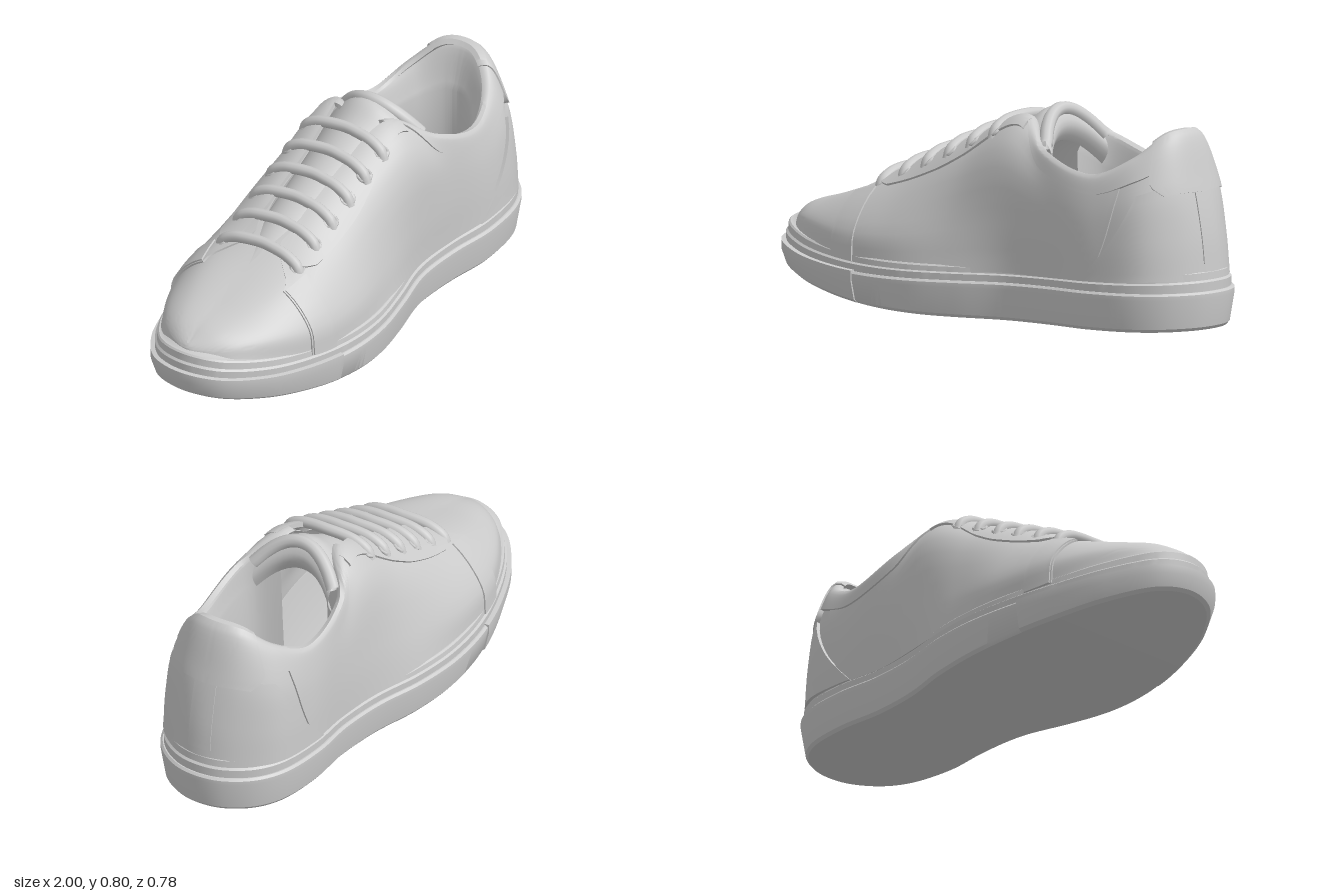
import * as THREE from 'three';
import { mergeVertices, toCreasedNormals } from 'three/addons/utils/BufferGeometryUtils.js';

const V = (x, y, z) => new THREE.Vector3(x, y, z);
const { lerp: mix, smoothstep: smooth, clamp } = THREE.MathUtils;
const material = new THREE.MeshStandardMaterial({ color: 0xcccccc, side: THREE.DoubleSide });

// Gentle sideways curve of the shoe: toe swings to +z, waist to -z, fading out higher up
function bend(x, y) {
  const waist = Math.exp(-(((x - 0.12) / 0.3) ** 2)) * clamp(1 - (y - 0.2) / 0.35, 0, 1);
  return 0.022 * Math.max(0, -x) ** 2 - 0.02 * waist;
}

// Closed curve from points on the +z half (first and last lie on z = 0)
function mirroredLoop(points) {
  const half = points.map((p) => V(...p));
  const back = half.slice(1, -1).reverse().map((p) => V(p.x, p.y, -p.z));
  return new THREE.CatmullRomCurve3([...half, ...back], true);
}

// Rails of the upper: 12 stations from toe (0) to heel (11), mirrored round to 22
const STATIONS = 22;
const rails = [
  // along the sole
  [[-.95, .26, 0], [-.89, .25, .145], [-.75, .22, .252], [-.55, .18, .328], [-.3, .17, .352], [-.05, .17, .33],
    [.2, .18, .275], [.4, .18, .26], [.62, .19, .272], [.82, .2, .238], [.93, .2, .125], [.965, .2, 0]],
  // lower side
  [[-.953, .272, 0], [-.888, .29, .125], [-.75, .295, .23], [-.55, .285, .314], [-.3, .29, .335], [-.05, .33, .3],
    [.18, .37, .27], [.4, .35, .262], [.62, .33, .268], [.81, .35, .234], [.912, .36, .125], [.946, .37, 0]],
  // shoulder
  [[-.948, .286, 0], [-.88, .323, .08], [-.735, .36, .14], [-.545, .408, .195], [-.3, .475, .215], [-.05, .575, .212],
    [.18, .65, .228], [.37, .53, .25], [.6, .47, .255], [.785, .52, .218], [.875, .56, .12], [.902, .56, 0]],
  // crest and collar edge
  [[-.935, .298, 0], [-.865, .336, 0], [-.72, .377, 0], [-.54, .44, 0], [-.3, .55, .07], [-.05, .655, .08],
    [.18, .745, .115], [.34, .645, .222], [.58, .572, .23], [.74, .642, .172], [.818, .725, .08], [.835, .737, 0]],
].map(mirroredLoop);

// Point on the upper: station k, height v (0 sole, 1 collar edge, 4/3 inside the lining)
function upperPoint(k, v) {
  const p = rails.map((r) => r.getPoint(k / STATIONS));
  const side = k <= 11 ? 1 : -1;
  p[3].z = side * Math.max(0, side * p[3].z);
  p.push(V(2 * p[3].x - p[2].x, p[2].y, 2 * p[3].z - p[2].z));
  return new THREE.CatmullRomCurve3(p).getPoint(clamp(v * 0.75, 0, 1));
}

// Same point lifted off the surface by h
function raisedPoint(k, v, h) {
  const e = 0.02;
  const du = upperPoint(k + e, v).sub(upperPoint(k - e, v));
  const dv = upperPoint(k, v + e).sub(upperPoint(k, v - e));
  return upperPoint(k, v).addScaledVector(du.cross(dv).normalize(), h);
}

// Surface from a grid of points f(i, j)
function grid(nu, nv, f) {
  const pos = [], index = [];
  for (let j = 0; j <= nv; j++) for (let i = 0; i <= nu; i++) pos.push(...f(i, j).toArray());
  for (let j = 0; j < nv; j++) for (let i = 0; i < nu; i++) {
    const a = j * (nu + 1) + i, b = a + 1, c = a + nu + 1, d = c + 1;
    index.push(a, b, d, a, d, c);
  }
  const g = new THREE.BufferGeometry();
  g.setAttribute('position', new THREE.Float32BufferAttribute(pos, 3));
  g.setIndex(index);
  return g;
}

export function createModel() {
  const shoe = new THREE.Group();
  shoe.name = 'shoe';

  function add(name, geometry, crease) {
    geometry.deleteAttribute('uv');
    geometry.deleteAttribute('normal');
    const p = geometry.attributes.position;
    for (let i = 0; i < p.count; i++) p.setZ(i, p.getZ(i) + bend(p.getX(i), p.getY(i)));
    const mesh = new THREE.Mesh(toCreasedNormals(mergeVertices(geometry, 1e-4), crease), material);
    mesh.name = name;
    shoe.add(mesh);
  }

  // Raised panel on the upper; place(a, b) gives [station, height] for a, b in 0..1
  function panel(name, nu, nv, height, place, mirror = false) {
    const inner = (i, n) => clamp(i - 1, 0, n) / n;
    for (const flip of mirror ? [false, true] : [false]) {
      add(name, grid(nu + 2, nv + 2, (i, j) => {
        const border = i === 0 || j === 0 || i === nu + 2 || j === nv + 2;
        const [k, v] = place(inner(flip ? nu + 2 - i : i, nu), inner(j, nv));
        return raisedPoint(flip ? STATIONS - k : k, v, border ? -0.004 : height);
      }), 0.6);
    }
  }

  // Sole: outline rings from the tread up to the foot bed
  const outline = mirroredLoop([[-1, 0, 0], [-.955, 0, .14], [-.8, 0, .262], [-.6, 0, .34], [-.4, 0, .382],
    [-.2, 0, .386], [0, 0, .352], [.2, 0, .3], [.4, 0, .287], [.6, 0, .299], [.8, 0, .27], [.91, 0, .205],
    [.982, 0, .1], [1, 0, 0]]);
  const treadY = (x) => (x < 0 ? 0.11 * Math.pow(-x, 2.2) : 0.014 * x * x);
  const bandY = (x) => 0.14 + 0.02 * x + 0.08 * Math.pow(Math.max(0, -x), 3);
  const weltY = (x) => bandY(x) + 0.055 + 0.02 * x * x;
  function ringPoint(t, inset, y, width = 1) {
    const u = (t + 1) % 1;
    const p = outline.getPoint(u), d = outline.getTangent(u);
    return V(p.x + d.z * inset, y(p.x), (p.z - d.x * inset) * width);
  }
  function soleLoft(name, rings) {
    add(name, grid(200, rings.length - 1, (i, j) => ringPoint(i / 200, ...rings[j])), 0.5);
  }
  soleLoft('outsole', [
    [.03, treadY, 0], [.03, treadY], [.02, (x) => treadY(x) + .012],
    [.002, (x) => bandY(x) - .025], [.002, (x) => bandY(x) - .008], [.01, bandY], [.03, bandY],
  ]);
  soleLoft('welt', [
    [.015, (x) => bandY(x) - .01], [.014, (x) => mix(bandY(x), weltY(x), .45)], [.022, (x) => mix(bandY(x), weltY(x), .55)],
    [.024, (x) => weltY(x) - .006], [.03, weltY], [.045, weltY], [.07, (x) => weltY(x) + .012], [.07, (x) => weltY(x) + .012, 0],
  ]);

  // Toe bumper wrapped round the front of the sole
  const bumper = [[.028, treadY], [.014, (x) => treadY(x) + .012], [-.003, (x) => bandY(x) - .03],
    [-.003, (x) => bandY(x) + .004], [.02, (x) => bandY(x) + .006]];
  add('toeBumper', grid(80, bumper.length + 1, (i, j) => {
    const t = mix(-0.144, 0.144, clamp((i - 1) / 78, 0, 1));
    const [inset, y] = bumper[clamp(j - 1, 0, bumper.length - 1)];
    const tuck = i === 0 || i === 80 || j === 0 || j === bumper.length + 1;
    return ringPoint(t, tuck ? 0.03 : inset, y);
  }), 0.5);

  // Main upper and the lining that rolls in from the collar
  add('upper', grid(176, 24, (i, j) => upperPoint(i / 8, j / 24)), 1);
  add('lining', grid(80, 9, (i, j) => {
    const p = upperPoint(mix(6.5, 15.5, i / 80), 1 + Math.min(j, 7) / 21);
    if (j > 7) p.y = mix(p.y, 0.2, (j - 7) / 2);
    return p;
  }), 1.2);

  // Side quarters, lace stays, heel counter, heel seam, collar and tab
  panel('quarter', 50, 12, 0.007, (a, b) => {
    const k = mix(2.85, mix(7.9, 8.8, b), a);
    return [k, b * mix(0.68, 0.96, smooth(k, 2.85, 3.6))];
  }, true);
  panel('laceStay', 40, 8, 0.015, (a, b) => {
    const k = mix(3.3, 6.2, a);
    const round = Math.sqrt(Math.min(1, a * 10));
    const low = mix(mix(0.78, 0.66, round), 0.85, smooth(k, 4.5, 6.2));
    return [k, mix(low, mix(0.85, 0.99, smooth(k, 3.3, 4.1)), b)];
  }, true);
  panel('sideStrap', 6, 8, 0.013, (a, b) => [mix(2.88, 3.35, a), b * 0.67], true);
  panel('heelCounter', 50, 10, 0.013, (a, b) => {
    const reach = mix(3.3, 2, b);
    return [11 + mix(-reach, reach, a), b * 0.66];
  });
  panel('heelSeam', 6, 10, 0.018, (a, b) => [mix(10.65, 11.35, a), mix(0.12, 0.64, b)]);
  panel('collar', 90, 8, 0.014, (a, b) => {
    const k = mix(5.95, 16.05, a);
    const low = mix(0.97, 0.77, smooth(Math.min(k, STATIONS - k), 5.95, 6.9));
    return [k, mix(low, 1.06, b)];
  });
  panel('heelTab', 40, 12, 0.02, (a, b) => {
    const reach = 1.8 * mix(0.72, 1, Math.sin(Math.min(1, b * 3) * Math.PI / 2)) * mix(1, 0.75, b);
    return [11 + mix(-reach, reach, a), mix(0.6, 1.06, b)];
  });

  // Tongue: arched padded strip with a rolled rear edge (z of the spine is the half width)
  const spine = new THREE.CatmullRomCurve3([V(-.53, .428, .05), V(-.3, .535, .1), V(-.05, .642, .13), V(.13, .735, .16),
    V(.21, .783, .175), V(.25, .784, .175)]);
  function tonguePoint(s, w, drop) {
    const c = spine.getPoint(s), z = w * c.z;
    return V(c.x + 0.065 * w * w * Math.pow(s, 5), c.y - 3.7 * z * z - drop, z);
  }
  add('tongue', grid(32, 30, (i, j) => {
    const a = i / 32 * Math.PI * 2;
    return tonguePoint(j / 30, Math.cos(a), 0.014 + 0.014 * Math.sin(a));
  }), 1.2);
  const edge = [-1, -.75, -.5, -.25, 0, .25, .5, .75, 1].map((w) => tonguePoint(1, w, 0.01));
  add('tongueEdge', new THREE.TubeGeometry(new THREE.CatmullRomCurve3(edge), 32, 0.026, 10), 1.2);
  add('tongueBack', grid(16, 6, (i, j) => {
    const p = tonguePoint(1, mix(-0.95, 0.95, i / 16), 0.01);
    return V(p.x + 0.03 * Math.sin(j / 6 * Math.PI), p.y - 0.12 * j / 6, p.z);
  }), 1.2);

  // Laces crossing the throat, tucked into eyelets at both ends
  const laceShape = [[-.182, -.06], [-.168, -.025], [-.12, .002], [-.06, .013], [0, .016],
    [.06, .013], [.12, .002], [.168, -.025], [.182, -.06]];
  for (let n = 0; n < 6; n++) {
    const x = -0.455 + n * 0.107, y = 0.478 + 0.45 * (x + 0.46);
    const path = laceShape.map(([z, h]) => V(x - Math.abs(z) * 0.06, y + h, z));
    add('lace', new THREE.TubeGeometry(new THREE.CatmullRomCurve3(path), 32, 0.022, 10), 1.2);
    for (const side of [-1, 1]) {
      const eyelet = new THREE.TorusGeometry(0.024, 0.007, 6, 16);
      eyelet.rotateX(-Math.PI / 2).rotateZ(0.42).rotateX(side * 0.6).translate(x - 0.01, y - 0.03, side * 0.172);
      add('eyelet', eyelet, 1.2);
    }
  }
  return shoe;
}
